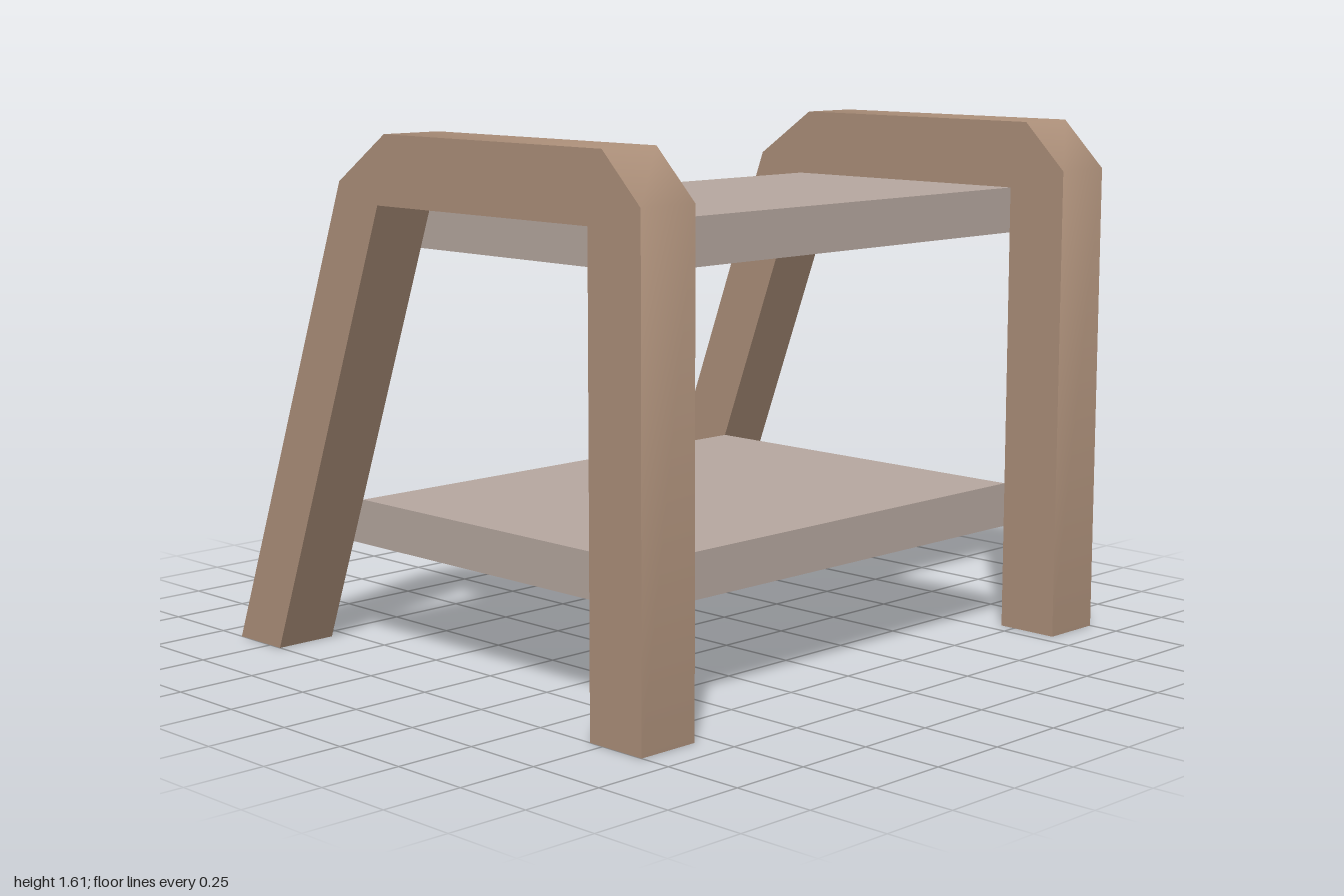
import * as THREE from 'three';
import { toCreasedNormals } from 'three/addons/utils/BufferGeometryUtils.js';

const wood = new THREE.MeshStandardMaterial({ name: 'brown wood', color: 0xae917b });
const board = new THREE.MeshStandardMaterial({ name: 'pale shelf', color: 0xb8a9a1 });

// Extrudes an x/y outline from z0 to z1, keeping sharp corners over 50 degrees.
function slab(name, outline, z0, z1, material) {
  const shape = new THREE.Shape(outline.map(([x, y]) => new THREE.Vector2(x, y)));
  const solid = new THREE.ExtrudeGeometry(shape, { depth: z1 - z0, bevelEnabled: false });
  solid.translate(0, 0, z0);
  const mesh = new THREE.Mesh(toCreasedNormals(solid, THREE.MathUtils.degToRad(50)), material);
  mesh.name = name;
  return mesh;
}

export function createModel() {
  const model = new THREE.Group();
  model.name = 'stepStool';

  // Side frames: a slanted leg, a chamfered top rail and an upright leg
  const frame = [
    [-0.9, 0], [-0.7, 0], [-0.18, 1.4], [0.7, 1.4], [0.7, 0], [0.9, 0],
    [0.9, 1.46], [0.755, 1.605], [-0.145, 1.605], [-0.355, 1.46],
  ];
  model.add(slab('frontFrame', frame, 0.8, 1, wood));
  model.add(slab('backFrame', frame, -1, -0.8, wood));

  // Shelves: one end follows the slope of the slanted leg
  const slope = (y) => -0.7 + (0.52 / 1.4) * y;
  for (const [name, low, high] of [['lowerShelf', 0.325, 0.463], ['upperShelf', 1.26, 1.4]]) {
    const section = [[slope(low), low], [0.7, low], [0.7, high], [slope(high), high]];
    model.add(slab(name, section, -0.8, 0.8, board));
  }
  return model;
}
